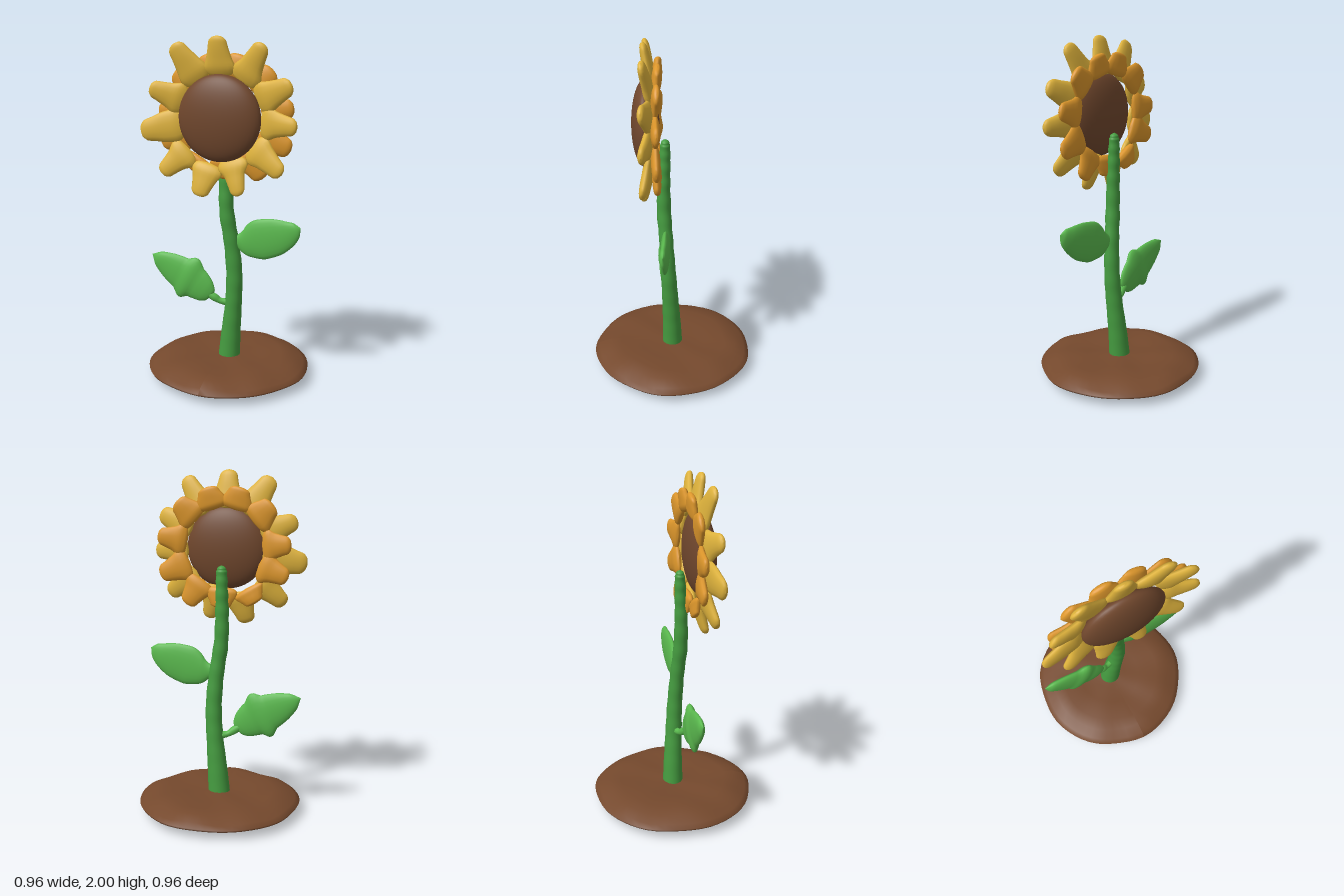
import * as THREE from 'three';

const mat = (name, color) => Object.assign(new THREE.MeshStandardMaterial({ color }), { name });

// Smooth loft of elliptical sections; each station is [x, y, z, halfWidth, halfDepth].
// Width lies in the xy plane, depth along z.
function loft(stations, steps = 24, sides = 16, ripple = () => 1) {
  const path = new THREE.CatmullRomCurve3(stations.map(s => new THREE.Vector3(s[0], s[1], s[2])));
  const size = new THREE.CatmullRomCurve3(stations.map(s => new THREE.Vector3(s[3], s[4], 0)));
  const pos = [], index = [];
  for (let i = 0; i <= steps; i++) {
    const u = i / steps, c = path.getPoint(u), s = size.getPoint(u), t = path.getTangent(u);
    const l = Math.hypot(t.x, t.y) || 1, k = ripple(u);
    const w = Math.max(0, s.x) * k, d = Math.max(0, s.y) * k;
    for (let j = 0; j < sides; j++) {
      const a = j / sides * Math.PI * 2, o = Math.cos(a) * w;
      pos.push(c.x - t.y / l * o, c.y + t.x / l * o, c.z + Math.sin(a) * d);
      if (i < steps) {
        const j2 = (j + 1) % sides, p = i * sides, q = p + sides;
        index.push(p + j, p + j2, q + j, p + j2, q + j2, q + j);
      }
    }
  }
  const g = new THREE.BufferGeometry();
  g.setAttribute('position', new THREE.Float32BufferAttribute(pos, 3));
  g.setIndex(index);
  g.computeVertexNormals();
  return g;
}

export function createModel() {
  const root = new THREE.Group();
  root.name = 'sunflower';
  const soilBrown = mat('soil brown', 0x75492d);
  const seedBrown = mat('seed brown', 0x70472d);
  const stemGreen = mat('stem green', 0x459c40);
  const leafGreen = mat('leaf green', 0x5ab94e);
  const yellow = mat('petal yellow', 0xdfb33c);
  const orange = mat('petal orange', 0xdc962b);
  const add = (name, geometry, material, parent = root) => {
    const m = new THREE.Mesh(geometry, material);
    m.name = name;
    parent.add(m);
    return m;
  };

  // Soil mound: a lathed disc with gentle lumps
  const profile = [[0, 0.004], [0.2, 0.006], [0.34, 0.016], [0.43, 0.035], [0.472, 0.052], [0.478, 0.064],
    [0.45, 0.084], [0.39, 0.108], [0.32, 0.121], [0.2, 0.117], [0.1, 0.115], [0, 0.115]];
  const soil = new THREE.LatheGeometry(profile.map(p => new THREE.Vector2(...p)), 56);
  const sp = soil.attributes.position;
  for (let i = 0; i < sp.count; i++) {
    const x = sp.getX(i), y = sp.getY(i), z = sp.getZ(i), r = Math.hypot(x, z), a = Math.atan2(z, x);
    const k = 1 + (r > 0.3 ? 0.009 * Math.sin(5 * a + 1) + 0.005 * Math.sin(9 * a) : 0);
    const lump = y > 0.075 ? 0.007 * Math.sin(x * 17 + 1) * Math.cos(z * 15) : 0;
    sp.setXYZ(i, x * k, y + lump, z * k);
  }
  soil.computeVertexNormals();
  add('soil', soil, soilBrown);

  // Stem: gently swaying, slightly knobbly, rounded at the top
  add('stem', loft([
    [0, 0.08, 0, 0.066, 0.062], [0.015, 0.26, 0.005, 0.058, 0.055], [0.033, 0.44, 0.014, 0.05, 0.049],
    [0.043, 0.62, 0.024, 0.048, 0.045], [0.03, 0.82, 0.036, 0.045, 0.041], [0.006, 1.0, 0.049, 0.043, 0.041],
    [0, 1.18, 0.05, 0.04, 0.037], [0, 1.32, 0.045, 0.035, 0.033], [0, 1.42, 0.042, 0.032, 0.028],
    [0, 1.448, 0.042, 0.022, 0.02], [0, 1.46, 0.042, 0, 0],
  ], 90, 20, u => 1 + 0.045 * Math.sin(u * 95) * Math.min(1, u * 1.5)), stemGreen);

  // Leaves: plump blades
  add('leftLeaf', loft([
    [0.03, 0.84, 0.036, 0.02, 0.018], [0.075, 0.837, 0.036, 0.045, 0.018], [0.125, 0.838, 0.037, 0.088, 0.024],
    [0.21, 0.86, 0.04, 0.118, 0.027], [0.30, 0.885, 0.042, 0.108, 0.026], [0.37, 0.912, 0.045, 0.08, 0.023],
    [0.42, 0.938, 0.05, 0.045, 0.017], [0.447, 0.952, 0.052, 0, 0],
  ], 36, 20), leafGreen);
  add('rightLeaf', loft([
    [-0.09, 0.485, 0.05, 0, 0], [-0.098, 0.492, 0.052, 0.045, 0.014], [-0.13, 0.515, 0.054, 0.08, 0.024],
    [-0.20, 0.563, 0.055, 0.108, 0.03], [-0.28, 0.606, 0.055, 0.108, 0.03], [-0.36, 0.648, 0.054, 0.086, 0.026],
    [-0.43, 0.685, 0.053, 0.05, 0.02], [-0.474, 0.708, 0.052, 0, 0],
  ], 36, 20), leafGreen);
  add('rightLeafStalk', loft([
    [-0.12, 0.51, 0.052, 0.02, 0.016], [-0.075, 0.48, 0.046, 0.024, 0.02], [-0.045, 0.46, 0.036, 0.018, 0.018],
    [-0.005, 0.452, 0.022, 0.022, 0.02], [0.03, 0.455, 0.016, 0.02, 0.02],
  ], 16, 12), leafGreen);

  // Seed head: a domed disc
  const head = new THREE.Group();
  head.name = 'flowerHead';
  head.position.y = 1.555;
  root.add(head);
  const disc = add('seedHead', new THREE.SphereGeometry(1, 40, 28), seedBrown, head);
  disc.scale.set(0.241, 0.241, 0.077);
  disc.position.z = 0.15;

  // Petals: blunt blobs whose wide bases merge into a ring.
  // Each entry is [tipX, tipY, halfWidth, innerRadius].
  const petalRing = (name, tips, material, zBase, zTip, depth, baseWidth) => {
    const ring = new THREE.Group();
    ring.name = name;
    head.add(ring);
    tips.forEach(([x, y, w, r0 = 0.225]) => {
      const len = Math.hypot(x, y), c = x / len, s = y / len;
      const at = (f, width, d) => {
        const r = r0 + (len - r0) * f;
        return [c * r, s * r, zBase + (zTip - zBase) * f, width, d];
      };
      add('petal', loft([
        at(0, 0, 0), at(0.05, baseWidth * 0.75, depth * 0.6), at(0.22, baseWidth, depth), at(0.45, w * 1.25, depth),
        at(0.7, w, depth * 0.95), at(0.88, w * 0.85, depth * 0.8), at(0.97, w * 0.5, depth * 0.5), at(1, 0, 0),
      ], 22, 14), material, ring);
    });
  };
  petalRing('frontPetals', [
    [-0.01, 0.445, 0.06], [0.255, 0.405, 0.056], [0.415, 0.195, 0.06], [0.447, -0.03, 0.056],
    [0.365, -0.29, 0.058], [0.115, -0.425, 0.05], [-0.125, -0.442, 0.06, 0.265], [-0.35, -0.325, 0.056, 0.265],
    [-0.476, -0.09, 0.07], [-0.415, 0.16, 0.058], [-0.265, 0.40, 0.062],
  ], yellow, 0.118, 0.16, 0.027, 0.092);
  petalRing('backPetals', [
    [-0.1, 0.345, 0.07], [0.1, 0.345, 0.07], [0.285, 0.265, 0.066], [0.405, 0.065, 0.058], [0.392, -0.165, 0.062],
    [0.23, -0.335, 0.06], [0.02, -0.35, 0.07], [-0.19, -0.315, 0.066, 0.265], [-0.382, -0.165, 0.058],
    [-0.398, 0.025, 0.058], [-0.29, 0.25, 0.068],
  ], orange, 0.092, 0.08, 0.025, 0.095);

  return root;
}
